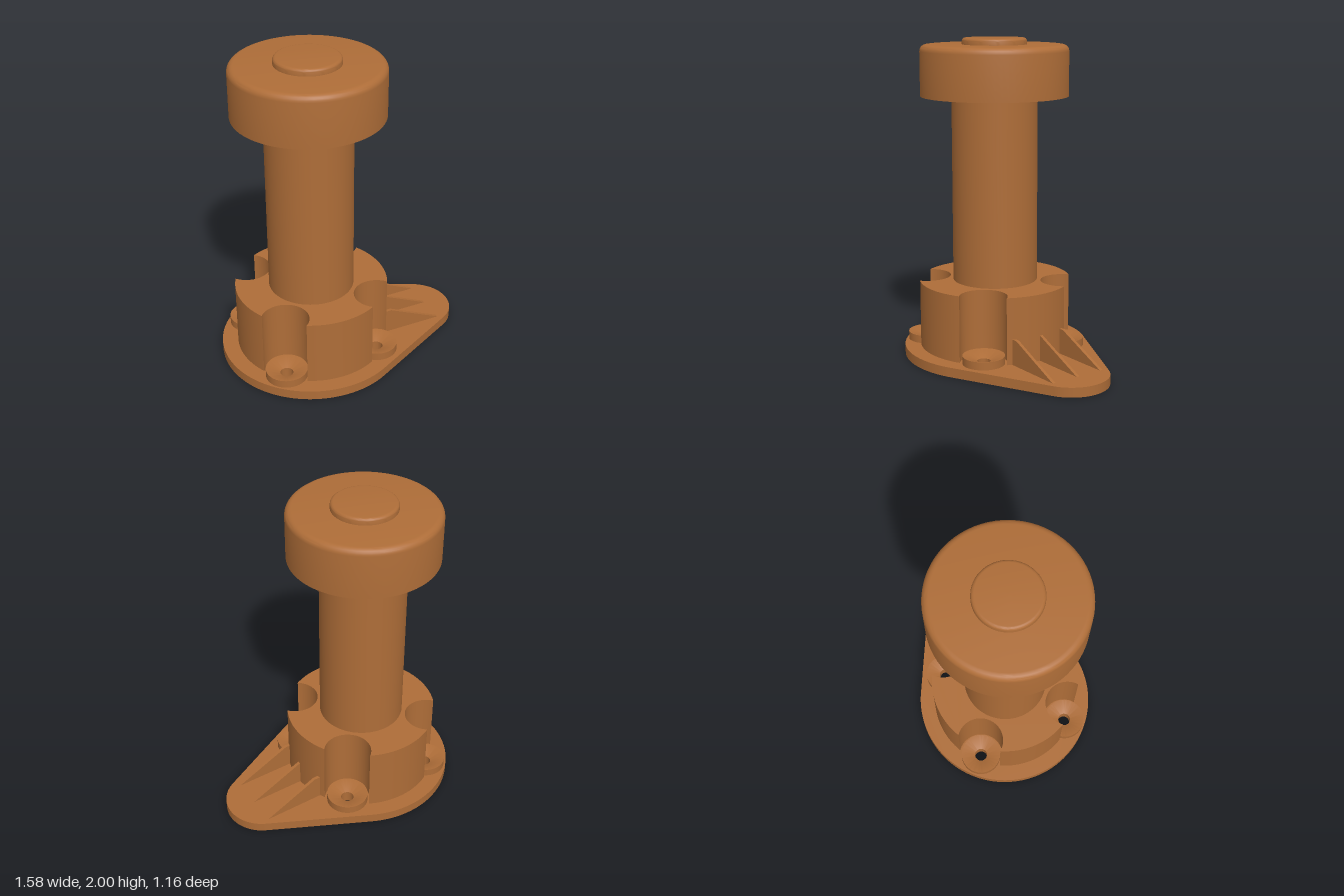
import * as THREE from 'three';
import { toCreasedNormals } from 'three/addons/utils/BufferGeometryUtils.js';

const AXIS_X = -0.21;      // column axis
const PLATE_TOP = 0.06;
const BOLT = 0.31;         // bolt offset from the axis in x and z
const HOLE_R = 0.04;

export function createModel() {
  const group = new THREE.Group();
  const brown = new THREE.MeshStandardMaterial({ color: 0xae6d38 });
  brown.name = 'brown';

  const add = (name, geometry, x = 0, y = 0, z = 0) => {
    const mesh = new THREE.Mesh(toCreasedNormals(geometry, 0.5), brown);
    mesh.name = name;
    mesh.position.set(x, y, z);
    group.add(mesh);
    return mesh;
  };
  const lathe = (points) =>
    new THREE.LatheGeometry(points.map(([r, y]) => new THREE.Vector2(r, y)), 72);
  const slab = (shape, height) =>
    new THREE.ExtrudeGeometry(shape, { depth: height, bevelEnabled: false, curveSegments: 40 })
      .rotateX(-Math.PI / 2);
  // Disc with a rounded top rim
  const roundedDisc = (r, bottom, top, fillet) => {
    const points = [[0, bottom], [r, bottom]];
    for (let i = 0; i <= 6; i++) {
      const a = (i / 6) * Math.PI / 2;
      points.push([r - fillet + fillet * Math.cos(a), top - fillet + fillet * Math.sin(a)]);
    }
    points.push([0, top]);
    return lathe(points);
  };

  const corners = [[1, 1], [-1, 1], [-1, -1], [1, -1]];

  // Teardrop base plate with four bolt holes
  const bigR = 0.58, tipR = 0.24, tipX = 0.755;
  const tangent = Math.acos((bigR - tipR) / tipX);
  const plate = new THREE.Shape();
  plate.absarc(0, 0, bigR, tangent, 2 * Math.PI - tangent, false);
  plate.absarc(tipX, 0, tipR, -tangent, tangent, false);
  plate.closePath();
  for (const [sx, sz] of corners) {
    const hole = new THREE.Path();
    hole.absarc(sx * BOLT, sz * BOLT, HOLE_R, 0, 2 * Math.PI, true);
    plate.holes.push(hole);
  }
  add('basePlate', slab(plate, PLATE_TOP), AXIS_X);

  // Collar with four round notches around the bolts
  const collarR = 0.48, notchR = 0.146, d = BOLT * Math.SQRT2;
  const along = (collarR ** 2 + d ** 2 - notchR ** 2) / (2 * d);
  const across = Math.sqrt(collarR ** 2 - along ** 2);
  const half = Math.atan2(across, along);
  const sweep = Math.atan2(across, along - d);
  const collar = new THREE.Shape();
  for (let k = 0; k < 4; k++) {
    const mid = k * Math.PI / 2, corner = mid + Math.PI / 4;
    collar.absarc(0, 0, collarR, mid - Math.PI / 4 + half, corner - half, false);
    collar.absarc(d * Math.cos(corner), d * Math.sin(corner), notchR,
      corner - sweep, corner + sweep, true);
  }
  collar.closePath();
  add('collar', slab(collar, 0.42), AXIS_X, PLATE_TOP);

  // Dished bolt bosses
  for (const [sx, sz] of corners) {
    add('boltBoss', lathe([[0.13, 0], [0.13, 0.05], [0.125, 0.05], [HOLE_R, 0.015], [HOLE_R, 0]]),
      AXIS_X + sx * BOLT, PLATE_TOP, sz * BOLT);
  }

  // Stiffening ribs on the tongue
  const rib = new THREE.Shape([[0.22, 0.05], [0.64, 0.05], [0.62, 0.06], [0.27, 0.22], [0.22, 0.22]]
    .map(([x, y]) => new THREE.Vector2(x, y)));
  for (const z of [-0.18, 0, 0.18]) {
    add('rib', new THREE.ExtrudeGeometry(rib, { depth: 0.02, bevelEnabled: false }), 0, 0, z - 0.01);
  }

  // Column, cap and top button
  add('column', lathe([[0.267, 0.48], [0.267, 1.645]]), AXIS_X);
  add('cap', roundedDisc(0.46, 1.645, 1.96, 0.04), AXIS_X);
  add('topButton', roundedDisc(0.2, 1.95, 2, 0.02), AXIS_X);

  return group;
}
